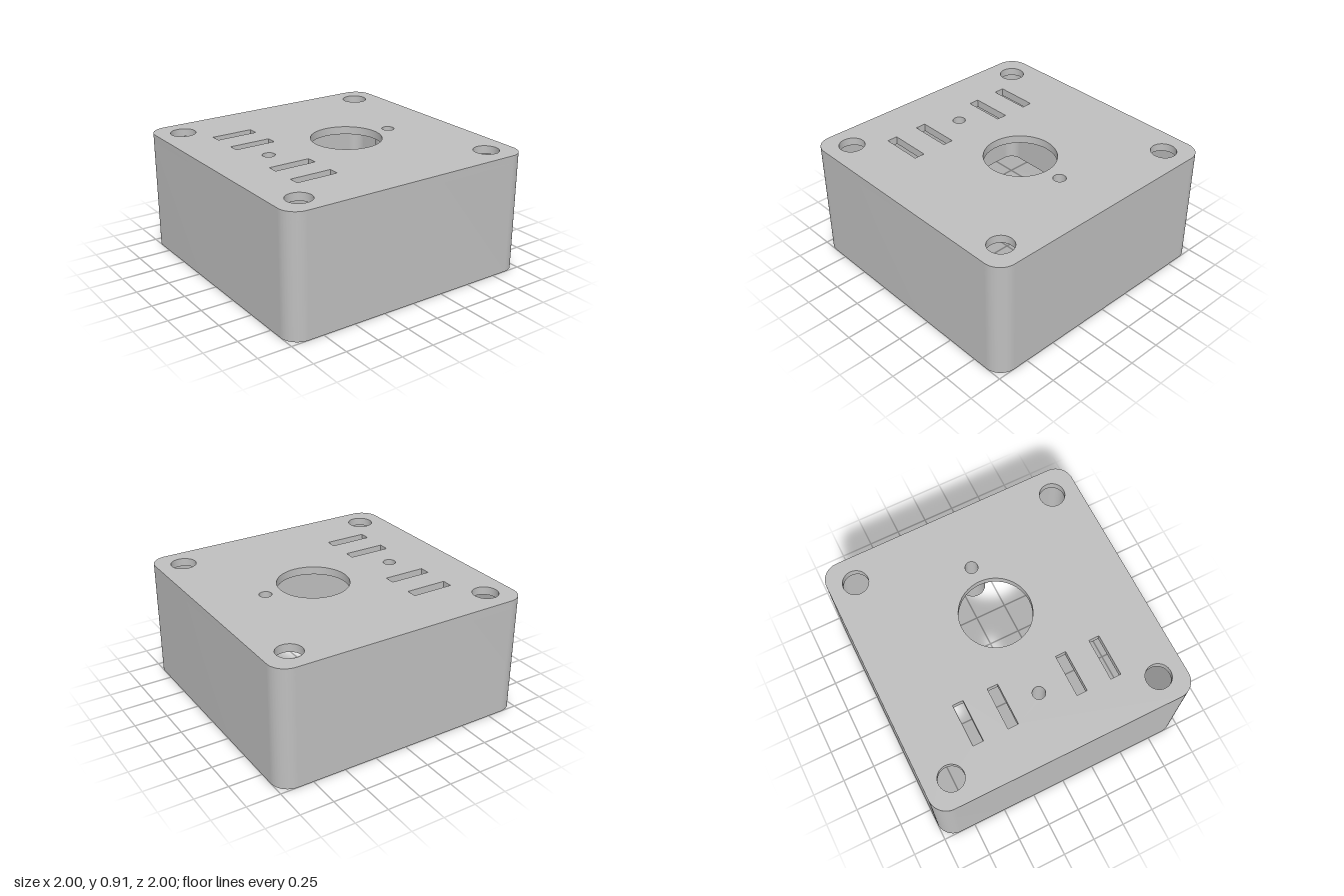
import * as THREE from 'three';
import { toCreasedNormals } from 'three/addons/utils/BufferGeometryUtils.js';

const HEIGHT = 0.907, LID = 0.06, WALL = 0.063;
const CEILING = HEIGHT - LID;

// Rounded square outline, centred on the origin
function roundedSquare(Type, half, r) {
  const p = new Type();
  const c = half - r;
  p.absarc(c, c, r, 0, Math.PI / 2);
  p.absarc(-c, c, r, Math.PI / 2, Math.PI);
  p.absarc(-c, -c, r, Math.PI, Math.PI * 1.5);
  p.absarc(c, -c, r, Math.PI * 1.5, Math.PI * 2);
  p.closePath();
  return p;
}

function circle(Type, x, z, r) {
  const p = new Type();
  p.absarc(x, -z, r, 0, Math.PI * 2);
  return p;
}

function slot(x, z, w, d) {
  return new THREE.Path([
    new THREE.Vector2(x - w / 2, -z - d / 2),
    new THREE.Vector2(x + w / 2, -z - d / 2),
    new THREE.Vector2(x + w / 2, -z + d / 2),
    new THREE.Vector2(x - w / 2, -z + d / 2),
    new THREE.Vector2(x - w / 2, -z - d / 2),
  ]);
}

export function createModel() {
  const group = new THREE.Group();
  const grey = new THREE.MeshStandardMaterial({ color: 0xbfbfbf });
  grey.name = 'grey plastic';

  // Extrude a plan outline upwards between two heights
  const addPart = (name, shape, y0, y1) => {
    let geo = new THREE.ExtrudeGeometry(shape, { depth: y1 - y0, bevelEnabled: false, curveSegments: 24 });
    geo.rotateX(-Math.PI / 2);
    geo.translate(0, y0, 0);
    geo = toCreasedNormals(geo, Math.PI / 5);
    const mesh = new THREE.Mesh(geo, grey);
    mesh.name = name;
    group.add(mesh);
  };

  // Side walls, open at the bottom
  const walls = roundedSquare(THREE.Shape, 1, 0.133);
  walls.holes.push(roundedSquare(THREE.Path, 1 - WALL, 0.09));
  addPart('sideWalls', walls, 0, CEILING);

  // Top plate with corner holes, large opening, slots and screw holes
  const lid = roundedSquare(THREE.Shape, 1, 0.133);
  for (const x of [-0.8, 0.8])
    for (const z of [-0.8, 0.8]) lid.holes.push(circle(THREE.Path, x, z, 0.095));
  lid.holes.push(circle(THREE.Path, 0.14, 0, 0.267));
  for (const z of [-0.533, -0.267, 0.267, 0.533]) lid.holes.push(slot(-0.507, z, 0.32, 0.08));
  for (const x of [-0.533, 0.533]) lid.holes.push(circle(THREE.Path, x, 0, 0.047));
  addPart('topPlate', lid, CEILING, HEIGHT);

  // Hollow screw posts hanging below the top plate
  for (const [name, x] of [['rightScrewPost', -0.533], ['leftScrewPost', 0.533]]) {
    const post = circle(THREE.Shape, x, 0, 0.093);
    post.holes.push(circle(THREE.Path, x, 0, 0.047));
    addPart(name, post, CEILING - 0.255, CEILING);
  }

  return group;
}
